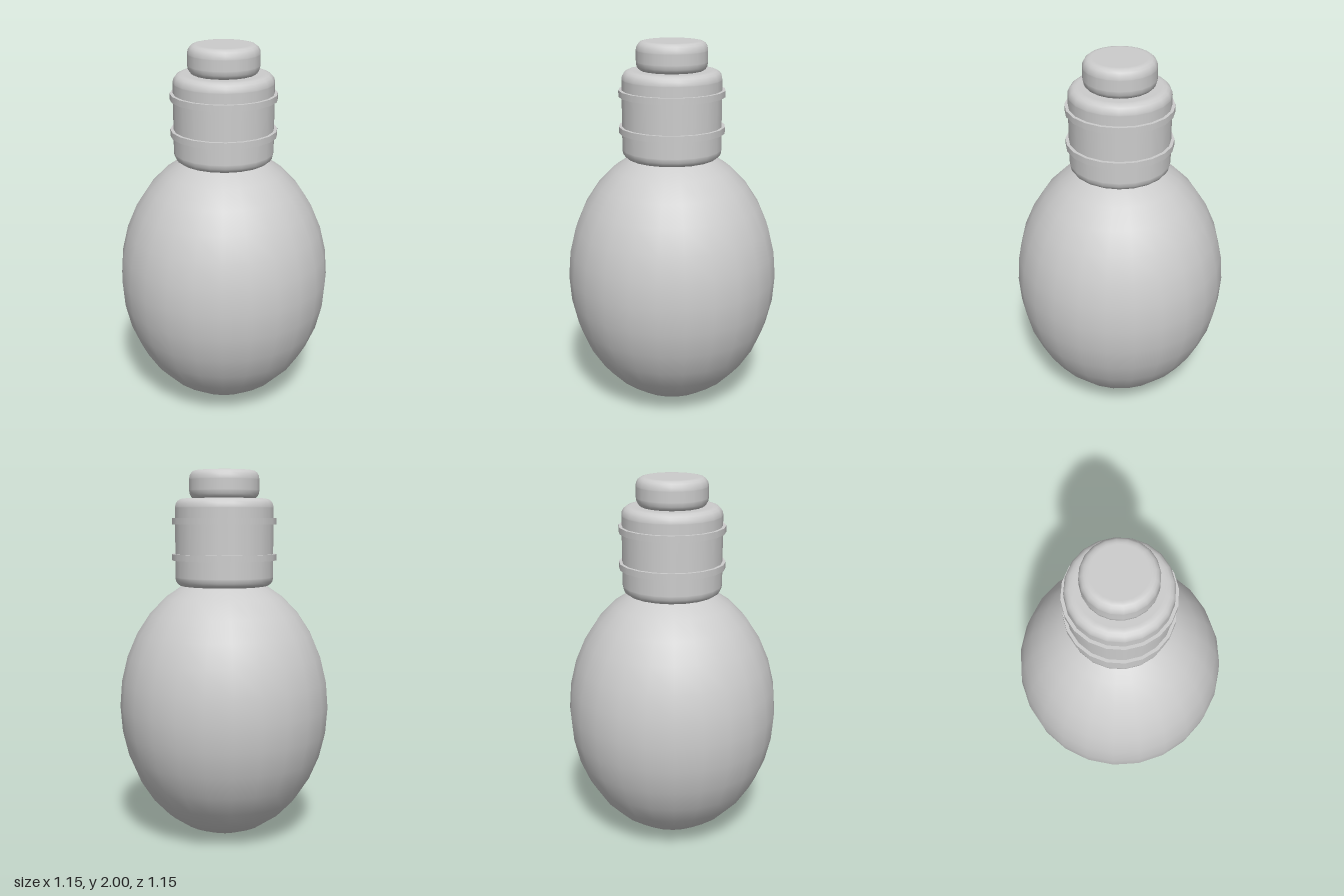
import * as THREE from 'three';

const SIDES = 20;

// Closed turned solid with rounded rims; profile runs from bottom axis to top axis.
function roundedDrum(radius, y0, y1, bevelX, bevelY) {
  const pts = [new THREE.Vector2(0, y0), new THREE.Vector2(radius - bevelX - 0.01, y0)];
  const steps = 4;
  for (let i = 0; i <= steps; i++) {
    const a = (i / steps) * Math.PI / 2;
    pts.push(new THREE.Vector2(radius - bevelX + bevelX * Math.sin(a), y0 + bevelY * (1 - Math.cos(a))));
  }
  pts.push(new THREE.Vector2(radius, y0 + bevelY + 0.005), new THREE.Vector2(radius, y1 - bevelY - 0.005));
  for (let i = 0; i <= steps; i++) {
    const a = (i / steps) * Math.PI / 2;
    pts.push(new THREE.Vector2(radius - bevelX + bevelX * Math.cos(a), y1 - bevelY + bevelY * Math.sin(a)));
  }
  pts.push(new THREE.Vector2(radius - bevelX - 0.01, y1), new THREE.Vector2(0, y1));
  return new THREE.LatheGeometry(pts, SIDES);
}

export function createModel() {
  const group = new THREE.Group();
  const grey = new THREE.MeshStandardMaterial({ color: 0xcccccc });
  grey.name = 'light grey';

  const add = (name, geometry, y = 0) => {
    const mesh = new THREE.Mesh(geometry, grey);
    mesh.name = name;
    mesh.position.y = y;
    group.add(mesh);
    return mesh;
  };

  // Egg-like bulb
  add('bulb', new THREE.SphereGeometry(1, 24, 16), 0.722).scale.set(0.573, 0.722, 0.573);

  // Neck collar and end knob
  add('collar', roundedDrum(0.267, 1.38, 1.85, 0.045, 0.045));
  add('knob', roundedDrum(0.19, 1.845, 2, 0.04, 0.045));

  // Two raised bands around the collar
  [1.537, 1.73].forEach((y, i) => {
    add(i ? 'upperBand' : 'lowerBand', new THREE.CylinderGeometry(0.284, 0.284, 0.034, SIDES), y);
  });

  return group;
}
